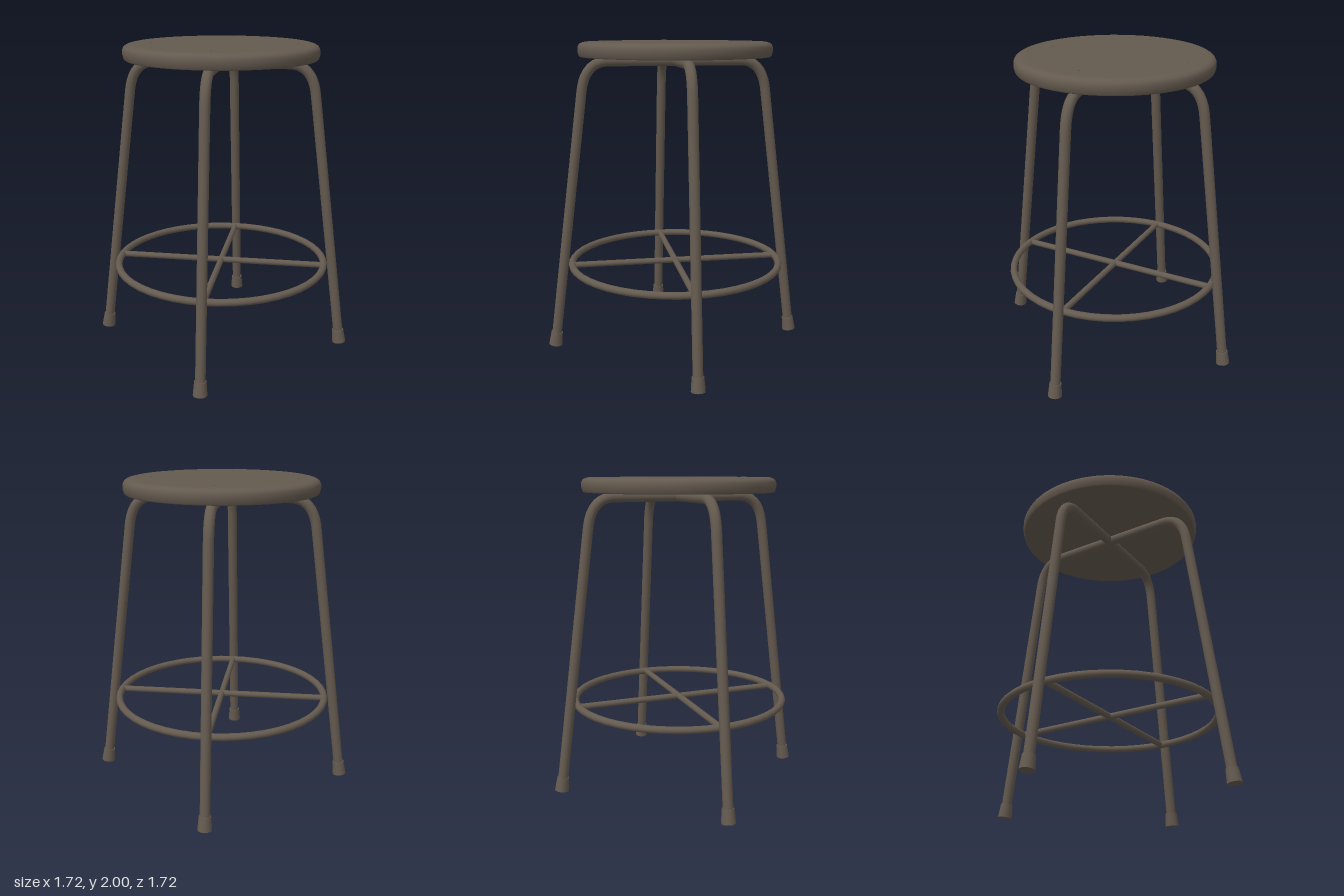
import * as THREE from 'three';

const V = (x, y) => new THREE.Vector3(x, y, 0);

export function createModel() {
  const stool = new THREE.Group();
  stool.name = 'stool';
  const paint = new THREE.MeshStandardMaterial({ color: 0x645a4f });
  paint.name = 'brownGrey';

  const add = (parent, name, geometry) => {
    const mesh = new THREE.Mesh(geometry, paint);
    mesh.name = name;
    parent.add(mesh);
    return mesh;
  };

  // Round seat with softened rim
  const rim = [
    [0, 1.905], [0.6, 1.905], [0.6, 1.905], [0.608, 1.912], [0.615, 1.94], [0.614, 1.965],
    [0.606, 1.982], [0.59, 1.992], [0.57, 1.997], [0.54, 1.997], [0, 1.997],
  ].map(([r, y]) => new THREE.Vector2(r, y));
  add(stool, 'seat', new THREE.LatheGeometry(rim, 48));

  // Each frame is one bent tube forming two opposite legs
  const legX = y => 0.815 - 0.1294 * y;
  const topY = 1.877;
  const path = new THREE.CurvePath();
  const foot = [V(-legX(0.03), 0.03), V(legX(0.03), 0.03)];
  const bend = [V(-legX(1.69), 1.69), V(legX(1.69), 1.69)];
  const corner = [V(-legX(topY), topY), V(legX(topY), topY)];
  const flat = [V(-0.425, topY), V(0.425, topY)];
  path.add(new THREE.LineCurve3(foot[0], bend[0]));
  path.add(new THREE.QuadraticBezierCurve3(bend[0], corner[0], flat[0]));
  path.add(new THREE.LineCurve3(flat[0], flat[1]));
  path.add(new THREE.QuadraticBezierCurve3(flat[1], corner[1], bend[1]));
  path.add(new THREE.LineCurve3(bend[1], foot[1]));
  const legTube = new THREE.TubeGeometry(path, 140, 0.032, 14);

  const tilt = Math.atan(0.1294);
  const footCap = new THREE.CylinderGeometry(0.038, 0.045, 0.088, 14);
  const rivet = new THREE.CylinderGeometry(0.018, 0.021, 0.006, 12);
  const footBar = new THREE.CylinderGeometry(0.02, 0.02, 1.37, 12);

  for (let i = 0; i < 2; i++) {
    const frame = new THREE.Group();
    frame.name = i ? 'frontBackFrame' : 'sideFrame';
    frame.rotation.y = i * Math.PI / 2;
    stool.add(frame);
    add(frame, 'legs', legTube);

    // Brace across the foot ring
    const bar = add(frame, 'footBar', footBar);
    bar.rotation.z = Math.PI / 2;
    bar.position.y = 0.555;

    // Rubber feet and seat rivets at both ends
    for (const s of [-1, 1]) {
      const cap = add(frame, 'footCap', footCap);
      cap.rotation.z = s * tilt;
      cap.position.set(s * legX(0.05), 0.0495, 0);
      add(frame, 'rivet', rivet).position.set(s * 0.46, 1.997, 0);
    }
  }

  // Foot ring
  const ring = add(stool, 'footRing', new THREE.TorusGeometry(0.688, 0.023, 12, 48));
  ring.rotation.x = Math.PI / 2;
  ring.position.y = 0.555;

  return stool;
}
